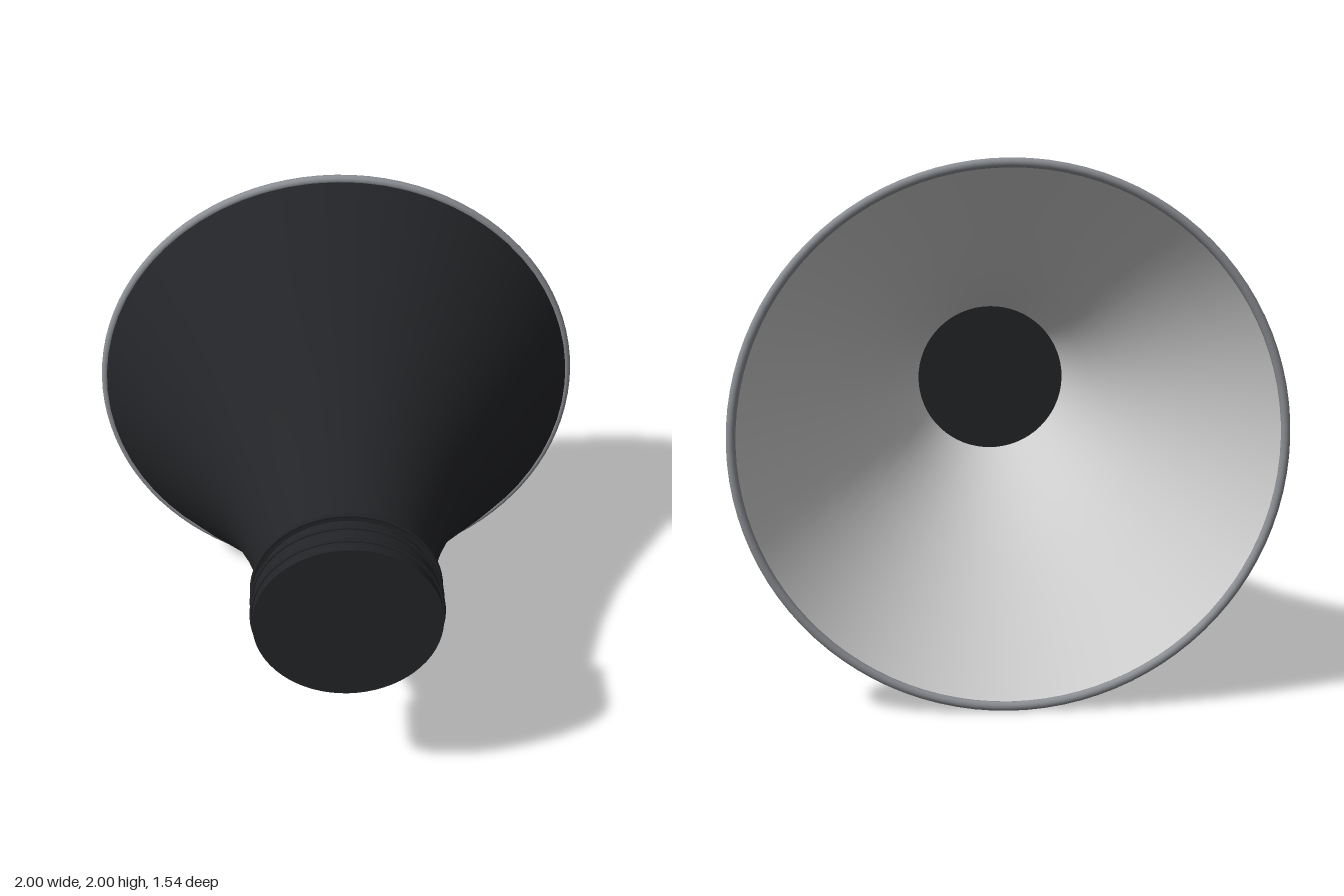
import * as THREE from 'three';

const SEG = 64;
const material = (color, side = THREE.FrontSide) => new THREE.MeshStandardMaterial({ color, side });

// Bell radius at stations along z, from neck to mouth
const BELL = [
  [0.54, 0.315], [0.43, 0.338], [0.24, 0.395], [0.04, 0.475],
  [-0.16, 0.59], [-0.36, 0.725], [-0.56, 0.862], [-0.745, 0.982],
];

export function createModel() {
  const model = new THREE.Group();
  model.name = 'hornReflector';
  const dark = material(0x232427);
  const metal = material(0x8c8f94);
  const lining = material(0xd8dadc, THREE.DoubleSide);

  const add = (name, geometry, mat, z = 0) => {
    const mesh = new THREE.Mesh(geometry, mat);
    mesh.name = name;
    mesh.position.set(0, 1, z);
    model.add(mesh);
    return mesh;
  };

  // Revolve a [z, radius] profile around the z axis
  const revolve = (profile) =>
    new THREE.LatheGeometry(profile.map(([z, r]) => new THREE.Vector2(r, z)), SEG).rotateX(Math.PI / 2);
  const disc = (r, z0, z1) =>
    new THREE.CylinderGeometry(r, r, z1 - z0, SEG).rotateX(Math.PI / 2).translate(0, 0, (z0 + z1) / 2);

  // Flared bell: dark outer skin and pale inner lining
  add('bellOuter', revolve([...BELL].reverse()), dark);
  add('bellLining', revolve(BELL.map(([z, r]) => [z, r - 0.012])), lining);

  // Rolled rim around the mouth
  add('rim', new THREE.TorusGeometry(0.983, 0.017, 12, 96), metal, -0.753);

  // Stepped neck collar and closed front cap
  add('neckCollar', disc(0.33, 0.535, 0.65), dark);
  add('frontCap', disc(0.347, 0.65, 0.77), dark);

  // Raised ribs around the neck
  for (const z of [0.58, 0.65, 0.72]) {
    add('neckRib', new THREE.TorusGeometry(0.35, 0.007, 8, SEG), dark, z);
    add('neckRibWeb', disc(0.35, -0.005, 0.005), dark, z);
  }

  return model;
}
